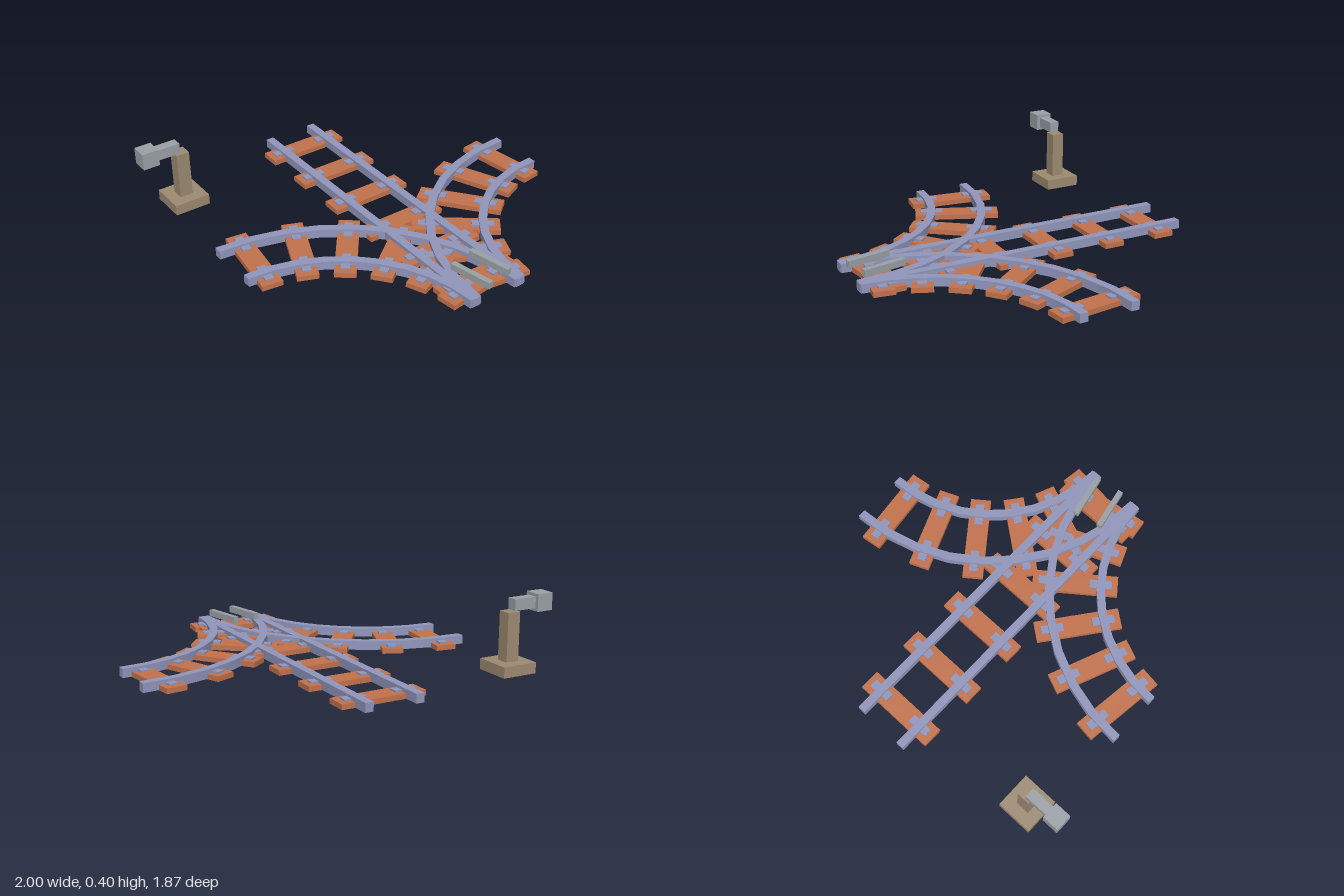
import * as THREE from 'three';
import { toCreasedNormals } from 'three/addons/utils/BufferGeometryUtils.js';

const MID = 0.06;      // x of the straight track's centre line
const FOOT = 0.93;     // z where all tracks meet
const HALF_GAUGE = 0.14;
const RADIUS = 0.93;   // centre line of the curved tracks
const RAIL_W = 0.045, RAIL_H = 0.048;

export function createModel() {
  const root = new THREE.Group();
  root.name = 'railwaySwitch';
  const mat = (name, color) => {
    const m = new THREE.MeshStandardMaterial({ color });
    m.name = name;
    return m;
  };
  const railBlue = mat('railBlue', 0x9297bd);
  const tieWood = mat('tieWood', 0xc4734d);
  const postTan = mat('postTan', 0x9e8b72);
  const leverGrey = mat('leverGrey', 0x9ba2a7);

  const add = (parent, name, geometry, material, x = 0, y = 0, z = 0, turn = 0) => {
    const mesh = new THREE.Mesh(geometry, material);
    mesh.name = name;
    mesh.position.set(x, y, z);
    mesh.rotation.y = turn;
    parent.add(mesh);
    return mesh;
  };
  const box = (w, h, d) => new THREE.BoxGeometry(w, h, d);

  // One wooden tie with a fastening plate under each rail
  const tieGeo = box(0.465, 0.028, 0.113);
  const plateGeo = box(0.12, 0.012, 0.046);
  const addTie = (parent, x, z, turn = 0) => {
    const group = new THREE.Group();
    group.name = 'tie';
    group.position.set(x, 0, z);
    group.rotation.y = turn;
    add(group, 'tieBoard', tieGeo, tieWood, 0, 0.014, 0);
    for (const s of [-1, 1]) add(group, 'railPlate', plateGeo, railBlue, s * HALF_GAUGE, 0.031, 0);
    parent.add(group);
  };

  // Straight track
  const straight = new THREE.Group();
  straight.name = 'straightTrack';
  root.add(straight);
  for (const s of [-1, 1]) {
    add(straight, 'straightRail', box(RAIL_W, RAIL_H, 1.865), railBlue,
      MID + s * HALF_GAUGE, 0.002 + RAIL_H / 2, 0);
  }
  for (let i = 0; i < 6; i++) addTie(straight, MID, -0.785 + i * 0.312);

  // Curved tracks: a quarter turn to each side
  const curvePoint = (side, r, a) => [
    MID + side * (1 - MID - r * Math.cos(a)),
    FOOT - r * Math.sin(a),
  ];
  const curvedRail = (side, r) => {
    const steps = 9, pts = [];
    for (let i = 0; i <= steps; i++) pts.push([r - RAIL_W / 2, i]);
    for (let i = steps; i >= 0; i--) pts.push([r + RAIL_W / 2, i]);
    const shape = new THREE.Shape(pts.map(([rr, i]) => {
      const [x, z] = curvePoint(side, rr, (i / steps) * Math.PI / 2);
      return new THREE.Vector2(x, -z);
    }));
    const geo = new THREE.ExtrudeGeometry(shape, { depth: RAIL_H, bevelEnabled: false });
    geo.rotateX(-Math.PI / 2);
    return toCreasedNormals(geo, 0.5);
  };
  for (const side of [-1, 1]) {
    const track = new THREE.Group();
    track.name = side > 0 ? 'leftCurvedTrack' : 'rightCurvedTrack';
    root.add(track);
    for (const s of [-1, 1]) {
      add(track, 'curvedRail', curvedRail(side, RADIUS + s * HALF_GAUGE), railBlue, 0, 0.002, 0);
    }
    for (let i = 0; i < 6; i++) {
      const a = THREE.MathUtils.degToRad(7.5 + 15 * i);
      const [x, z] = curvePoint(side, RADIUS, a);
      addTie(track, x, z, Math.atan2(-Math.sin(a), side * Math.cos(a)));
    }
  }

  // Movable switch blades above the junction
  const bladeGeo = box(0.03, 0.036, 0.24);
  for (const [x, z] of [[-0.003, 0.803], [0.14, 0.773]]) {
    add(root, 'switchBlade', bladeGeo, leverGrey, x, 0.077, z, 0.2);
  }

  // Lever stand beside the track
  const stand = new THREE.Group();
  stand.name = 'leverStand';
  stand.position.set(-0.768, 0, -0.705);
  root.add(stand);
  add(stand, 'standBase', box(0.2, 0.058, 0.2), postTan, 0, 0.029, 0);
  add(stand, 'standPost', box(0.074, 0.26, 0.07), postTan, 0, 0.186, 0);
  add(stand, 'leverArm', box(0.14, 0.06, 0.055), leverGrey, -0.08, 0.35, 0);
  add(stand, 'leverHandle', box(0.092, 0.092, 0.092), leverGrey, -0.186, 0.35, 0);

  return root;
}
